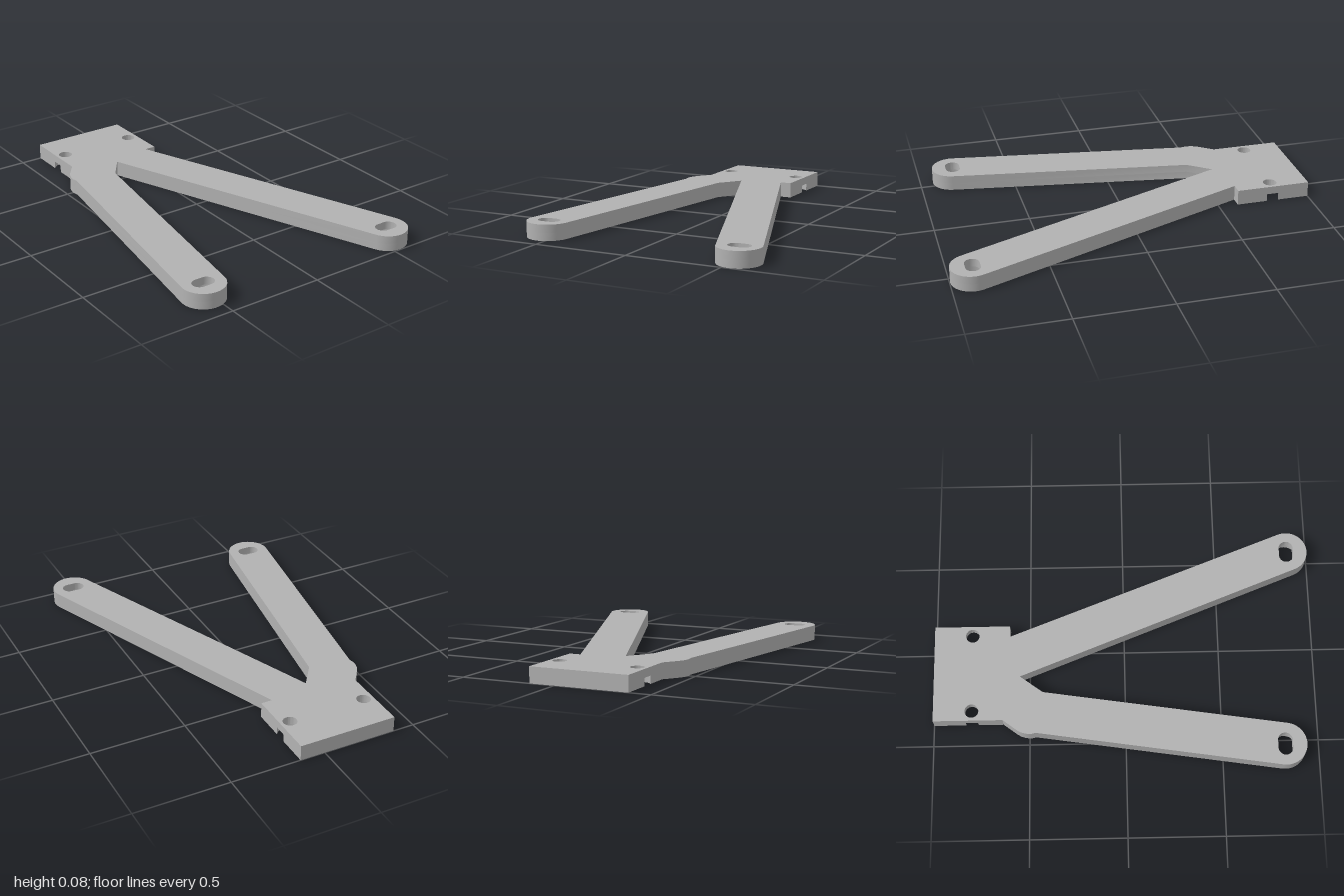
import * as THREE from 'three';
import { mergeGeometries, toCreasedNormals } from 'three/addons/utils/BufferGeometryUtils.js';

const TOP = 0.082, LEDGE = 0.04; // plate thickness and counterbore depth
const BORE = 0.061, HOLE = 0.036;
const V = (x, z) => new THREE.Vector2(x, z);

// Points along an arc in the x/z plan
function arc(cx, cz, r, a0, a1, n = 24) {
  return Array.from({ length: n + 1 }, (_, i) => {
    const a = a0 + (a1 - a0) * i / n;
    return V(cx + r * Math.cos(a), cz + r * Math.sin(a));
  });
}
const circle = (cx, cz, r) => arc(cx, cz, r, 0, Math.PI * 2, 40).slice(0, -1);
const slot = (cx, cz, half, r) => [
  ...arc(cx + half - r, cz, r, -Math.PI / 2, Math.PI / 2, 16),
  ...arc(cx - half + r, cz, r, Math.PI / 2, Math.PI * 1.5, 16),
];

// Horizontal face with holes, at height y
function face(points, holes, y, up) {
  const shape = new THREE.Shape(points);
  shape.holes = holes.map((h) => new THREE.Path(h));
  const g = new THREE.ShapeGeometry(shape);
  g.rotateX(Math.PI / 2).translate(0, y, 0);
  if (up) {
    g.index.array.reverse();
    g.attributes.normal.array.forEach((v, i, a) => { a[i] = -v; });
  }
  return g;
}

// Vertical wall along a closed loop, smooth on curves and sharp at corners
function wall(points, y0, y1, outward) {
  const loop = outward ? [...points].reverse() : points;
  const pos = [];
  loop.forEach((a, i) => {
    const b = loop[(i + 1) % loop.length];
    if (a.distanceTo(b) < 1e-6) return;
    pos.push(a.x, y0, a.y, b.x, y0, b.y, b.x, y1, b.y, a.x, y0, a.y, b.x, y1, b.y, a.x, y1, a.y);
  });
  const g = new THREE.BufferGeometry();
  g.setAttribute('position', new THREE.Float32BufferAttribute(pos, 3));
  return toCreasedNormals(g, 0.5);
}

export function createModel() {
  const grey = new THREE.MeshStandardMaterial({ color: 0xb2b2b2 });
  grey.name = 'grey';
  const model = new THREE.Group();
  model.name = 'forkedBracket';
  const add = (name, ...geos) => {
    const mesh = new THREE.Mesh(geos.length > 1 ? mergeGeometries(geos) : geos[0], grey);
    mesh.name = name;
    model.add(mesh);
  };

  // Mounting holes, whose counterbores break through the plate's side edges
  const xl = -0.387, xr = 0.132, hz = -0.8;
  const hl = xl + 0.052, hr = xr - 0.052;
  const a = Math.acos(0.052 / BORE);
  const notchR = arc(hr, hz, BORE, -a, a - 2 * Math.PI, 32);
  const notchL = arc(hl, hz, BORE, Math.PI - a, a - Math.PI, 32);

  // Outline of the plate and its two arms
  const arms = [
    V(xr, -0.604), V(0.073, -0.604),
    ...arc(0.537, 0.887, 0.11, -0.372, Math.PI - 0.372, 32),
    V(-0.15, -0.55), V(-0.238, -0.43),
    ...arc(-0.54, 0.82, 0.112, 0.15, Math.PI + 0.15, 32),
    V(-0.459, -0.466), V(-0.465, -0.493), V(-0.462, -0.52), V(-0.454, -0.545), V(-0.442, -0.565),
    V(xl, -0.638),
  ];
  const back = [V(xl, -1), V(xr, -1)];
  const upper = [...back, ...arms];
  const lower = [...back, ...notchR, ...arms, ...notchL];

  const plateHoles = [circle(hl, hz, HOLE), circle(hr, hz, HOLE)];
  const ends = [[-0.54, 0.82], [0.537, 0.885]];
  const slots = ends.map(([x, z]) => slot(x, z, 0.059, 0.038));
  const bores = ends.map(([x, z]) => circle(x, z, 0.064));

  add('topFace', face(upper, [...plateHoles, ...slots], TOP, true));
  add('bottomFace', face(lower, bores, 0, false));
  add('upperSides', wall(upper, LEDGE, TOP, true));
  add('lowerSides', wall(lower, 0, LEDGE, true));

  // Hole walls and the counterbore ledges seen from below
  [notchL, notchR].forEach((edge, i) => {
    add(i ? 'leftMountHole' : 'rightMountHole', wall(plateHoles[i], LEDGE, TOP, false));
    add(i ? 'leftMountLedge' : 'rightMountLedge', face(edge, [plateHoles[i]], LEDGE, false));
  });
  slots.forEach((s, i) => {
    const side = i ? 'left' : 'right';
    add(side + 'ArmSlot', wall(s, LEDGE, TOP, false));
    add(side + 'ArmCounterbore', wall(bores[i], 0, LEDGE, false));
    add(side + 'ArmLedge', face(bores[i], [s], LEDGE, false));
  });
  return model;
}
